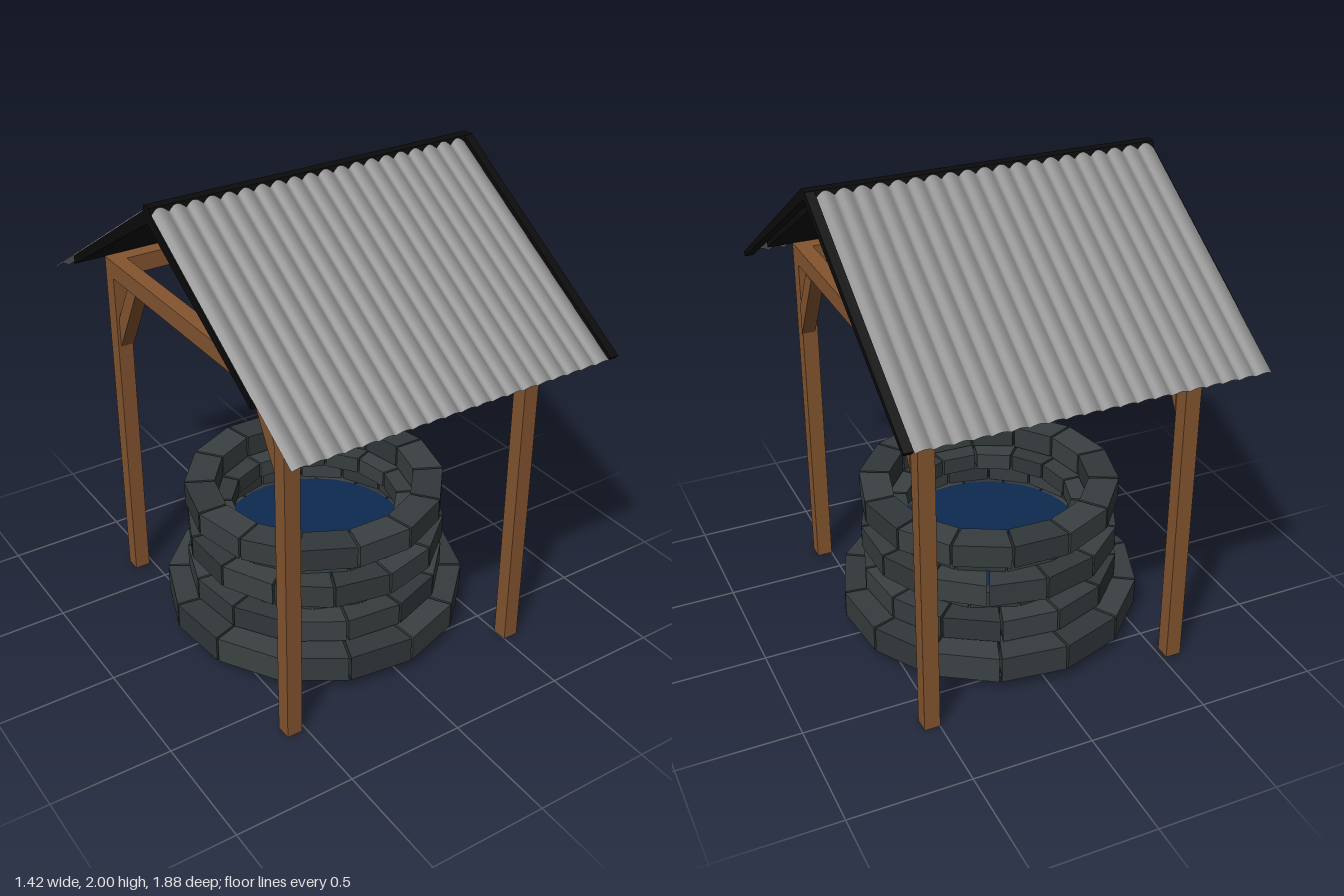
import * as THREE from 'three';

const material = (color, extra = {}) => new THREE.MeshStandardMaterial({ color, ...extra });

export function createModel() {
  const model = new THREE.Group();
  const wood = material(0x85552f);
  const black = material(0x0b0b0b);
  const tin = material(0x8a8a8a, { side: THREE.DoubleSide });
  const stones = [0x363c3e, 0x3b4143, 0x323739].map((c) => material(c));
  const water = material(0x0d2a4f, { side: THREE.DoubleSide });

  const add = (name, geometry, mat, x = 0, y = 0, z = 0, parent = model) => {
    const mesh = new THREE.Mesh(geometry, mat);
    mesh.name = name;
    mesh.position.set(x, y, z);
    parent.add(mesh);
    return mesh;
  };
  const box = (name, w, h, d, mat, x, y, z) => add(name, new THREE.BoxGeometry(w, h, d), mat, x, y, z);

  // Extrudes a (z, y) outline along x, centred on x = 0
  const sideProfile = (points, width) => {
    const shape = new THREE.Shape(points.map(([z, y]) => new THREE.Vector2(z, y)));
    return new THREE.ExtrudeGeometry(shape, { depth: width, bevelEnabled: false })
      .translate(0, 0, -width / 2)
      .rotateY(-Math.PI / 2);
  };

  // Timber frame: posts, beams and diagonal braces
  const postXs = [-0.552, 0.532];
  const postZ = 0.65, thick = 0.066, midX = -0.01;
  for (const x of postXs) {
    for (const s of [-1, 1]) {
      box('post', thick, 1.455, thick, wood, x, 0.7275, s * postZ);
      const outline = [[0.618, 1.135], [0.618, 1.265], [0.51, 1.452], [0.438, 1.452]];
      const brace = outline.map(([z, y]) => [s * z, y]);
      add('brace', sideProfile(brace, 0.058), wood, x + 0.008);
    }
    box('sideBeam', thick, 0.075, 2 * postZ + thick, wood, x, 1.4875, 0);
  }
  for (const s of [-1, 1]) {
    box('crossBeam', postXs[1] - postXs[0] - thick, 0.075, thick, wood, midX, 1.4875, s * postZ);
  }

  // Closed gable outline from its right half: upper edge outwards, then lower edge back
  const gable = (half, apex) => [
    ...half, apex, ...half.slice().reverse().map(([z, y]) => [-z, y]),
  ];
  add('roofDeck', sideProfile(gable([[0.02, 1.98], [0.69, 1.556], [0.69, 1.52]], [0, 1.935]), 1.385),
    black, -0.0225);
  add('gableTrim', sideProfile(gable([[0.02, 2], [0.935, 1.416], [0.922, 1.4]], [0, 1.965]), 0.036),
    black, 0.692);
  add('ridgeCap', sideProfile([[-0.022, 2], [-0.03, 1.97], [0.03, 1.97], [0.022, 2]], 1.425), black, -0.0025);

  // Corrugated sheets with rounded crests and sharp valleys
  const waves = 20, steps = 8, sheetWidth = 1.38;
  for (const s of [1, -1]) {
    const geometry = new THREE.PlaneGeometry(sheetWidth, 1, waves * steps, 1);
    const p = geometry.attributes.position;
    for (let i = 0; i < p.count; i++) {
      const t = 0.5 - p.getY(i);
      const u = (p.getX(i) / sheetWidth + 0.5) * waves;
      const lift = 0.014 * (Math.abs(Math.sin(Math.PI * u)) - 1);
      p.setY(i, THREE.MathUtils.lerp(1.998, 1.417, t) + lift * 0.85);
      p.setZ(i, THREE.MathUtils.lerp(0.02, 0.94, t) + lift * 0.53);
    }
    geometry.computeVertexNormals();
    const sheet = add('corrugatedSheet', geometry, tin, -0.02);
    if (s < 0) sheet.rotation.y = Math.PI;
  }

  // Wedge-shaped stone with straight inner and outer faces
  const stoneGeometry = (inner, outer, height, count) => {
    const half = Math.PI / count, gap = 0.005;
    const corner = (r, side) => new THREE.Vector2(r * Math.cos(half), side * (r * Math.sin(half) - gap));
    const shape = new THREE.Shape([corner(inner, -1), corner(outer, -1), corner(outer, 1), corner(inner, 1)]);
    return new THREE.ExtrudeGeometry(shape, { depth: height, bevelEnabled: false }).rotateX(-Math.PI / 2);
  };

  // Courses: bottom, top, outer radius, inner radius, turn
  const well = new THREE.Group();
  well.name = 'well';
  well.position.set(-0.015, 0, -0.005);
  model.add(well);
  const courses = [
    [0.055, 0.17, 0.638, 0.485, 0.1],
    [0.185, 0.283, 0.547, 0.42, 0.12],
    [0.283, 0.356, 0.455, 0.35, 0.3],
    [0.36, 0.46, 0.547, 0.42, 0.02],
    [0.46, 0.532, 0.455, 0.35, 0.18],
    [0.54, 0.638, 0.547, 0.42, 0.2],
  ];
  const count = 14;
  courses.forEach(([bottom, top, outer, inner, turn], row) => {
    const geometry = stoneGeometry(inner, outer, top - bottom, count);
    for (let i = 0; i < count; i++) {
      const stone = add('stone', geometry, stones[(i * 2 + row) % 3], 0, bottom, 0, well);
      stone.rotation.y = turn + (i * 2 * Math.PI) / count;
    }
  });

  // Water surface
  add('water', new THREE.CircleGeometry(0.4, 32).rotateX(-Math.PI / 2), water, 0, 0.358, 0, well);

  return model;
}
